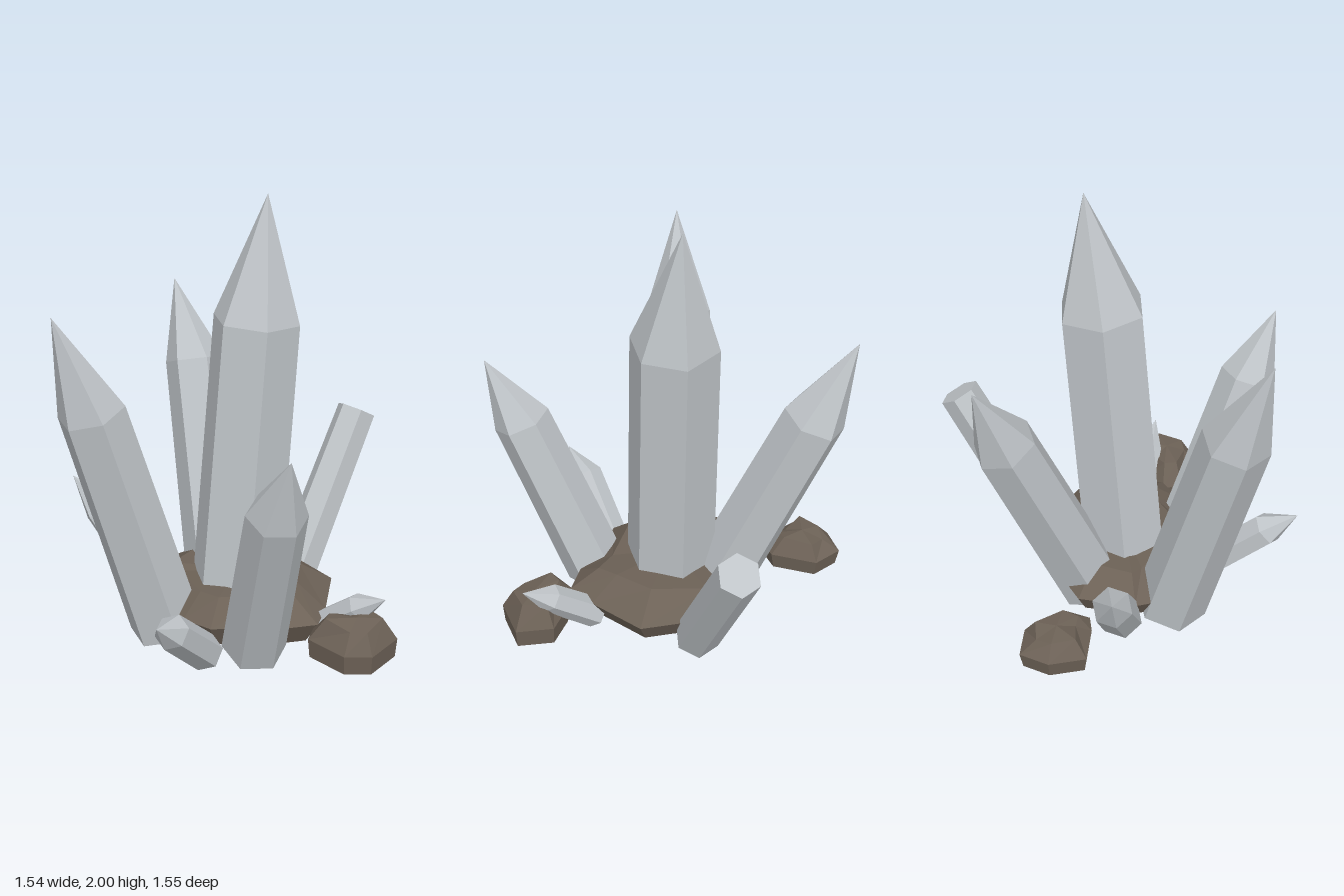
import * as THREE from 'three';

const crystalMat = new THREE.MeshStandardMaterial({ color: 0xbfc4c8, flatShading: true });
crystalMat.name = 'pale grey crystal';
const rockMat = new THREE.MeshStandardMaterial({ color: 0x6c6156, flatShading: true });
rockMat.name = 'brown rock';

const V = (p) => new THREE.Vector3(...p);

// Closed faceted solid through a stack of rings, fanned to a bottom and a top point
function loft(name, rings, bottom, top, material) {
  const pos = [];
  const tri = (...pts) => pts.forEach((p) => pos.push(p.x, p.y, p.z));
  const n = rings[0].length;
  const last = rings[rings.length - 1];
  for (let i = 0; i < n; i++) {
    const j = (i + 1) % n;
    tri(bottom, rings[0][i], rings[0][j]);
    for (let k = 0; k + 1 < rings.length; k++) {
      const lo = rings[k], hi = rings[k + 1];
      tri(lo[i], hi[i], lo[j]);
      tri(lo[j], hi[i], hi[j]);
    }
    tri(top, last[j], last[i]);
  }
  const geo = new THREE.BufferGeometry();
  geo.setAttribute('position', new THREE.Float32BufferAttribute(pos, 3));
  geo.computeVertexNormals();
  const mesh = new THREE.Mesh(geo, material);
  mesh.name = name;
  return mesh;
}

// Hexagonal prism leaning from base to shoulder, ending in a point
function crystal({ name, base, shoulder, tip, r0, r1, turn = 0 }) {
  const a = V(base), b = V(shoulder);
  const axis = b.clone().sub(a).normalize();
  const u = new THREE.Vector3(1, 0, 0).addScaledVector(axis, -axis.x).normalize();
  const w = u.clone().cross(axis);
  const ring = (c, r) => Array.from({ length: 6 }, (_, i) => {
    const t = THREE.MathUtils.degToRad(turn + i * 60);
    return c.clone().addScaledVector(u, r * Math.cos(t)).addScaledVector(w, r * Math.sin(t));
  });
  return loft(name, [ring(a, r0), ring(b, r1)], a, tip ? V(tip) : b, crystalMat);
}

// Flat-bottomed boulder: plan outline scaled at several heights, with uneven upper corners
function rock({ name, centre, outline, levels, top }) {
  const [cx, cz] = centre;
  const rings = levels.map(([y, s, rough]) => outline.map(([x, z], i) => {
    const k = s * (1 + rough * Math.sin(i * 2.3));
    return new THREE.Vector3(cx + (x - cx) * k, y + 0.15 * rough * Math.cos(i * 1.9), cz + (z - cz) * k);
  }));
  return loft(name, rings, new THREE.Vector3(cx, levels[0][0], cz), new THREE.Vector3(cx, top, cz), rockMat);
}

const crystals = [
  { name: 'mainCrystal', base: [0.02, 0.06, -0.02], shoulder: [0.11, 1.46, -0.1], tip: [0.15, 2, -0.16], r0: 0.21, r1: 0.195, turn: 12 },
  { name: 'frontRightTallCrystal', base: [-0.28, 0.05, 0.12], shoulder: [-0.55, 1.17, 0.3], tip: [-0.68, 1.61, 0.39], r0: 0.17, r1: 0.15 },
  { name: 'backTallCrystal', base: [-0.06, 0.06, -0.21], shoulder: [-0.22, 1.08, -0.6], tip: [-0.33, 1.44, -0.73], r0: 0.16, r1: 0.14 },
  { name: 'frontCrystal', base: [0.14, 0.08, 0.32], shoulder: [0.25, 0.89, 0.63], tip: [0.31, 1.19, 0.77], r0: 0.145, r1: 0.13, turn: -10 },
  { name: 'bluntCrystal', base: [0.28, 0.07, -0.33], shoulder: [0.56, 0.81, -0.69], r0: 0.105, r1: 0.095, turn: 15 },
  { name: 'smallRightCrystal', base: [-0.36, 0.09, -0.14], shoulder: [-0.63, 0.44, -0.245], tip: [-0.77, 0.59, -0.28], r0: 0.1, r1: 0.09, turn: 10 },
  { name: 'smallFrontCrystal', base: [-0.07, 0.07, 0.38], shoulder: [-0.185, 0.31, 0.61], tip: [-0.23, 0.4, 0.74], r0: 0.085, r1: 0.08, turn: -10 },
  { name: 'smallLeftCrystal', base: [0.41, 0.08, 0.14], shoulder: [0.6, 0.26, 0.25], tip: [0.71, 0.34, 0.315], r0: 0.07, r1: 0.065, turn: 20 },
];

const rocks = [
  {
    name: 'baseRock', centre: [0.04, -0.03], top: 0.27,
    outline: [[0.45, 0.13], [0.42, 0.27], [0.29, 0.31], [-0.05, 0.35], [-0.18, 0.28], [-0.39, 0], [-0.39, -0.08],
      [-0.28, -0.32], [0.04, -0.41], [0.21, -0.42], [0.47, -0.15]],
    levels: [[0.06, 0.86, 0], [0.17, 1, 0], [0.26, 0.68, 0.07]],
  },
  {
    name: 'backRock', centre: [-0.47, -0.46], top: 0.225,
    outline: [[-0.32, -0.38], [-0.38, -0.29], [-0.46, -0.3], [-0.62, -0.36], [-0.61, -0.53], [-0.52, -0.64], [-0.38, -0.59]],
    levels: [[0.06, 0.92, 0], [0.14, 1, 0], [0.205, 0.6, 0.1]],
  },
  {
    name: 'frontRock', centre: [0.59, 0.34], top: 0.26,
    outline: [[0.77, 0.32], [0.66, 0.48], [0.54, 0.49], [0.38, 0.36], [0.4, 0.27], [0.51, 0.22], [0.66, 0.19]],
    levels: [[0.06, 0.96, 0], [0.15, 1, 0], [0.245, 0.62, 0.08]],
  },
];

export function createModel() {
  const model = new THREE.Group();
  model.name = 'crystalCluster';
  crystals.forEach((c) => model.add(crystal(c)));
  rocks.forEach((r) => model.add(rock(r)));
  return model;
}
